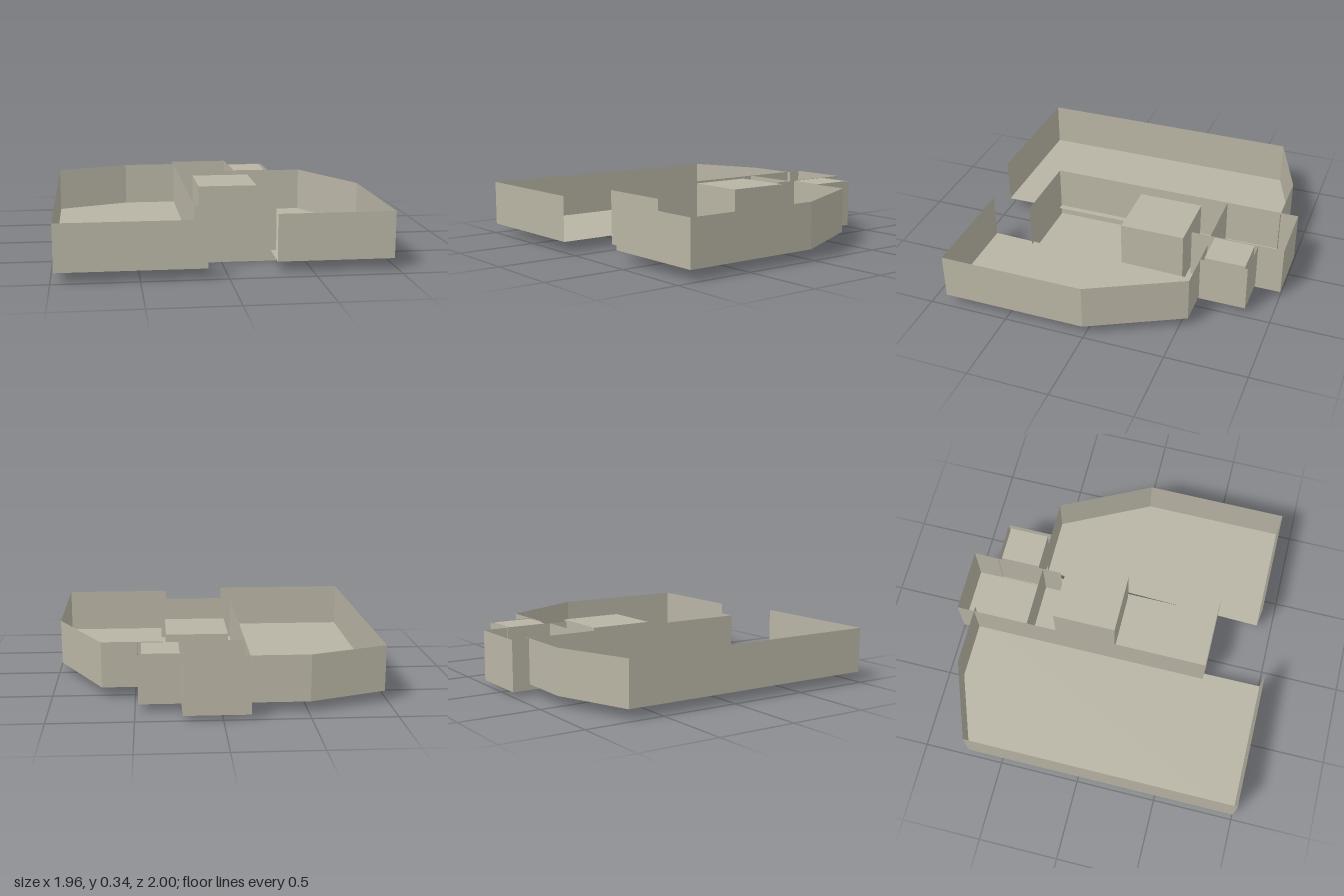
import * as THREE from 'three';

const TOP = 0.345;

// Flat floor from [x, z] corners at height y, with optional rectangular holes
function floorGeometry(points, y, holes = []) {
  const toVec = ([x, z]) => new THREE.Vector2(x, -z);
  const shape = new THREE.Shape(points.map(toVec));
  for (const h of holes) shape.holes.push(new THREE.Path(h.map(toVec)));
  return new THREE.ShapeGeometry(shape).rotateX(-Math.PI / 2).translate(0, y, 0);
}

// Upright sheet wall following a path of [x, z] points
function wallGeometry(path, y0, y1) {
  const pos = [];
  for (let i = 0; i < path.length - 1; i++) {
    const [ax, az] = path[i], [bx, bz] = path[i + 1];
    pos.push(ax, y0, az, bx, y0, bz, bx, y1, bz, ax, y0, az, bx, y1, bz, ax, y1, az);
  }
  const g = new THREE.BufferGeometry();
  g.setAttribute('position', new THREE.Float32BufferAttribute(pos, 3));
  g.computeVertexNormals();
  return g;
}

const rect = (x0, x1, z0, z1) => [[x0, z0], [x1, z0], [x1, z1], [x0, z1]];

export function createModel() {
  const model = new THREE.Group();
  model.name = 'roomShell';
  const stone = new THREE.MeshStandardMaterial({ color: 0xb8b4a4, side: THREE.DoubleSide });
  stone.name = 'warm grey';

  const room = (name, floorPoints, y, walls, block) => {
    const group = new THREE.Group();
    group.name = name;
    const add = (part, geometry) => {
      const mesh = new THREE.Mesh(geometry, stone);
      mesh.name = part;
      group.add(mesh);
    };
    add('floor', floorGeometry(floorPoints, y, block ? [block] : []));
    walls.forEach((path) => add('wall', wallGeometry(path, y, TOP)));
    // Hollow block rising from the floor, open underneath
    if (block) {
      add('blockSides', wallGeometry([...block, block[0]], y, TOP));
      add('blockTop', floorGeometry(block, TOP));
    }
    model.add(group);
  };

  // Large room, open towards the corridor
  const large = [[-0.12, 1], [-0.98, 1], [-0.98, -0.715], [-0.51, -0.89], [-0.13, -0.89]];
  room('largeRoom', large, 0.065, [large]);

  // Smaller room with a cut corner, open towards the corridor
  const small = [[0.29, 0.9], [0.98, 0.9], [0.98, 0.01], [0.7, -0.55], [0.33, -0.55]];
  room('smallRoom', small, 0.065, [small]);

  // Central corridor, lower, open on its left side
  room('corridor', rect(-0.16, 0.33, -0.54, 0.63), 0,
    [[[0.33, 0.63], [-0.16, 0.63], [-0.16, -0.54], [0.23, -0.54]]],
    rect(-0.07, 0.31, -0.39, 0.015));

  // Back alcove
  room('backAlcove', rect(-0.16, 0.23, -1, -0.42), 0.03,
    [[[-0.16, -0.42], [-0.16, -1], [0.23, -1], [0.23, -0.42]]]);

  // Side closet with its own block
  room('sideCloset', rect(0.225, 0.48, -0.84, -0.55), 0.05,
    [[[0.225, -0.84], [0.48, -0.84], [0.48, -0.55], [0.33, -0.55]]],
    rect(0.24, 0.46, -0.82, -0.57));

  return model;
}
